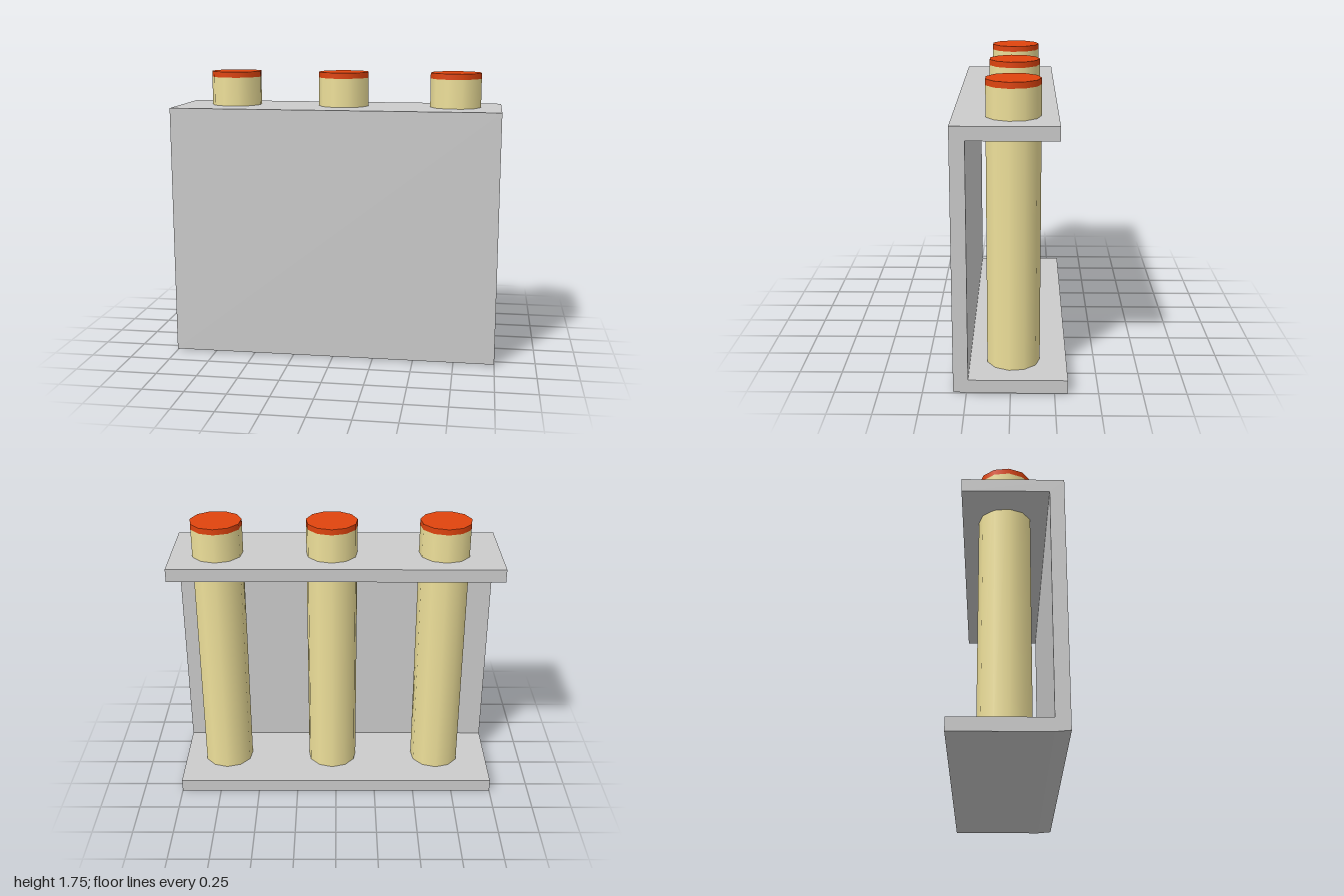
import * as THREE from 'three';

const SIDES = 11, RADIUS = 0.157, TUBE_Z = -0.012;

// Upright cylinder with a corner pointing to the back
function upright(name, material, x, y0, y1) {
  const geometry = new THREE.CylinderGeometry(RADIUS, RADIUS, y1 - y0, SIDES, 1, false, Math.PI);
  const mesh = new THREE.Mesh(geometry, material);
  mesh.name = name;
  mesh.position.set(x, (y0 + y1) / 2, TUBE_Z);
  return mesh;
}

export function createModel() {
  const model = new THREE.Group();
  model.name = 'tubeRack';
  const grey = new THREE.MeshStandardMaterial({ color: 0xcccccc });
  const cream = new THREE.MeshStandardMaterial({ color: 0xeee09a });
  const red = new THREE.MeshStandardMaterial({ color: 0xe0440e });

  // C-shaped bracket: profile points are (z, y), swept along x
  const profile = new THREE.Shape([
    [-0.325, 0], [0.24, 0], [0.325, 0.008], [0.325, 1.545], [-0.265, 1.545],
    [-0.265, 1.465], [0.24, 1.465], [0.24, 0.08], [-0.325, 0.08],
  ].map(([z, y]) => new THREE.Vector2(z, y)));
  const bracketGeometry = new THREE.ExtrudeGeometry(profile, { depth: 2, bevelEnabled: false });
  bracketGeometry.rotateY(-Math.PI / 2).translate(1, 0, 0);
  const bracket = new THREE.Mesh(bracketGeometry, grey);
  bracket.name = 'bracket';
  model.add(bracket);

  // Three capped tubes standing on the base and passing through the top shelf
  for (const x of [-0.66, 0.025, 0.72]) {
    const tube = new THREE.Group();
    tube.name = 'cappedTube';
    tube.add(upright('tube', cream, x, 0.07, 1.72), upright('cap', red, x, 1.72, 1.755));
    model.add(tube);
  }
  return model;
}
